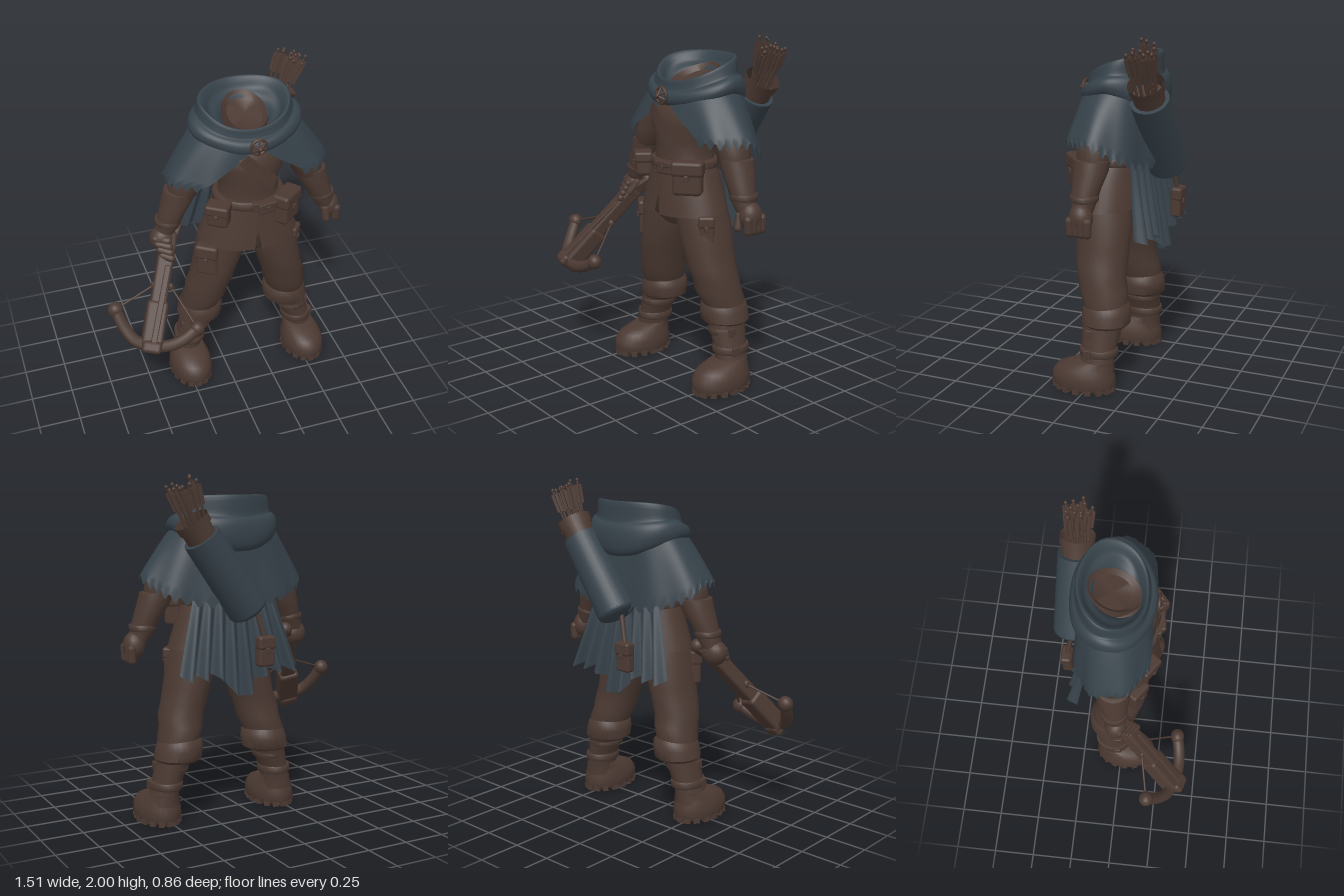
import * as THREE from 'three';
import { toCreasedNormals } from 'three/addons/utils/BufferGeometryUtils.js';
import { RoundedBoxGeometry } from 'three/addons/geometries/RoundedBoxGeometry.js';
import { ParametricGeometry } from 'three/addons/geometries/ParametricGeometry.js';

const CX = 0.15; // the body stands off centre to make room for the crossbow
const V = (p) => new THREE.Vector3(...p);
const lerp = THREE.MathUtils.lerp;

export function createModel() {
  const model = new THREE.Group();
  const leather = new THREE.MeshStandardMaterial({ color: 0x4b3932, side: THREE.DoubleSide });
  leather.name = 'brown leather';
  const cloth = new THREE.MeshStandardMaterial({ color: 0x364149, side: THREE.DoubleSide });
  cloth.name = 'blue cloth';

  const add = (name, geo, mat = leather, pos = [0, 0, 0]) => {
    const m = new THREE.Mesh(geo, mat);
    m.name = name;
    m.position.set(...pos);
    model.add(m);
    return m;
  };

  // Skin over horizontal ellipses [x, y, z, rx, rz], listed from bottom to top
  function loft(name, rows, mat = leather, n = 28) {
    const pos = [], idx = [];
    for (const [x, y, z, rx, rz] of rows)
      for (let i = 0; i < n; i++) {
        const a = (i / n) * Math.PI * 2;
        pos.push(x + rx * Math.sin(a), y, z + rz * Math.cos(a));
      }
    const last = rows.length - 1, c = rows.length * n;
    pos.push(...rows[0].slice(0, 3), ...rows[last].slice(0, 3));
    for (let i = 0; i < n; i++) {
      const j = (i + 1) % n;
      for (let r = 0; r < last; r++) {
        const a = r * n + i, b = r * n + j;
        idx.push(a, b, a + n, b, b + n, a + n);
      }
      idx.push(c, j, i, c + 1, last * n + i, last * n + j);
    }
    const g = new THREE.BufferGeometry();
    g.setAttribute('position', new THREE.Float32BufferAttribute(pos, 3));
    g.setIndex(idx);
    return add(name, toCreasedNormals(g, 0.8), mat);
  }

  // Open cloth or leather sheet from a rule (u, v) -> [x, y, z]
  function sheet(name, rule, nu, nv, mat = cloth) {
    const g = new ParametricGeometry((u, v, t) => t.set(...rule(u, v)), nu, nv);
    g.computeVertexNormals();
    return add(name, g, mat);
  }

  // Place a y-aligned shape so that it runs from p to q
  function span(name, geo, p, q, mat = leather, side = [1, 0, 0]) {
    const y = V(q).sub(V(p)).normalize();
    const z = V(side).cross(y).normalize();
    const x = y.clone().cross(z);
    const m = add(name, geo, mat);
    m.quaternion.setFromRotationMatrix(new THREE.Matrix4().makeBasis(x, y, z));
    m.position.copy(V(p).add(V(q)).multiplyScalar(0.5));
    return m;
  }
  const dist = (p, q) => V(p).distanceTo(V(q));
  const bar = (name, p, q, w, d, mat, side) =>
    span(name, new RoundedBoxGeometry(w, dist(p, q), d, 2, Math.min(w, d) * 0.2), p, q, mat, side);
  const rod = (name, p, q, r0, r1 = r0, mat, n = 8, open = false) =>
    span(name, new THREE.CylinderGeometry(r1, r0, dist(p, q), n, 1, open), p, q, mat, [0.01, 0, 1]);
  const finger = (name, p, q, r) => span(name, new THREE.CapsuleGeometry(r, dist(p, q), 4, 8), p, q, leather, [0, 0, 1]);
  const ball = (name, pos, s) => {
    const m = add(name, new THREE.SphereGeometry(1, 18, 12), leather, pos);
    m.scale.set(...s);
    return m;
  };
  const band = (name, x, y, z, rx, rz, h) =>
    loft(name, [[x, y - h, z, rx * 0.96, rz * 0.96], [x, y - h * 0.7, z, rx, rz], [x, y + h * 0.7, z, rx, rz], [x, y + h, z, rx * 0.96, rz * 0.96]]);

  // Torso, neck and hips
  loft('torso', [[CX, 1.08, 0, 0.25, 0.18], [CX, 1.2, 0, 0.22, 0.175], [CX, 1.3, 0, 0.18, 0.162], [CX, 1.4, 0, 0.175, 0.165],
    [CX, 1.5, 0, 0.21, 0.175], [CX, 1.58, -0.01, 0.24, 0.175], [CX, 1.66, -0.05, 0.2, 0.16], [CX, 1.7, -0.06, 0.14, 0.13]]);
  const neck = loft('neck', [[0, -0.14, 0, 0.14, 0.14], [0, -0.02, 0, 0.13, 0.16], [0, 0, 0, 0.125, 0.155], [0, -0.03, 0, 0.1, 0.12]]);
  neck.position.set(CX, 1.77, -0.07);
  neck.rotation.x = 0.36;
  loft('hips', [[CX, 0.92, -0.01, 0.14, 0.12], [CX, 0.98, -0.01, 0.25, 0.165], [CX, 1.1, 0, 0.25, 0.175]]);

  // Jacket skirt, split at the front
  sheet('jacketSkirt', (u, v) => {
    const o = 0.01 + 0.06 * v * v, a = lerp(o, Math.PI * 2 - o, u);
    return [CX + lerp(0.185, 0.305, v ** 0.8) * Math.sin(a), 1.3 - 0.295 * v - 0.015 * Math.cos(a) * v, lerp(0.165, 0.205, v) * Math.cos(a)];
  }, 40, 8, leather);
  band('belt', CX, 1.275, 0, 0.212, 0.185, 0.028);
  bar('buckle', [CX, 1.245, 0.185], [CX, 1.305, 0.185], 0.07, 0.025);

  // Chest strap wrapped over the torso
  sheet('chestStrap', (u, v) => {
    const x = lerp(0.06, 0.25, u) + 0.05 * (v - 0.5);
    return [x, lerp(1.6, 1.41, u) + 0.06 * (v - 0.5), 0.19 * Math.sqrt(1 - ((x - CX) / 0.27) ** 2) - 0.006];
  }, 16, 2, leather);

  // Pouches: body, flap and button
  function pouch(name, x, y, z, w, h, d, turn) {
    const g = new THREE.Group();
    g.name = name;
    const parts = [['pouchBody', w, h, d, 0, 0], ['pouchFlap', w * 1.08, h * 0.45, d * 1.08, h * 0.3, 0.006], ['pouchButton', 0.025, 0.03, 0.02, h * 0.05, d * 0.56]];
    for (const [part, a, b, c, py, pz] of parts)
      g.add(add(part, new RoundedBoxGeometry(a, b, c, 2, Math.min(a, b, c) * 0.25), leather, [0, py, pz]));
    g.position.set(x, y, z);
    g.rotation.y = turn;
    model.add(g);
  }
  pouch('leftBeltPouch', 0.34, 1.22, 0.13, 0.17, 0.19, 0.1, 0.7);
  pouch('rightBeltPouch', -0.07, 1.24, 0.13, 0.13, 0.14, 0.1, -0.6);
  pouch('smallBeltPouch', 0.2, 1.265, 0.18, 0.11, 0.075, 0.05, 0.15);
  pouch('rightThighPouch', -0.125, 0.9, 0.085, 0.13, 0.2, 0.07, -0.6);
  pouch('leftThighPouch', 0.42, 0.93, 0.06, 0.09, 0.15, 0.06, 0.9);
  pouch('backPouch', 0.02, 1.01, -0.345, 0.1, 0.17, 0.06, Math.PI);
  rod('backPouchStrap', [0.02, 1.08, -0.345], [0.07, 1.26, -0.32], 0.014);

  // Legs, boots and sleeves, mirrored about the body axis
  for (const s of [-1, 1]) {
    const side = s > 0 ? 'left' : 'right';
    const mir = (rows) => rows.map(([x, ...rest]) => [CX + s * x, ...rest]);
    loft(side + 'Trouser', mir([[0.29, 0.42, -0.07, 0.105, 0.11], [0.28, 0.5, -0.06, 0.123, 0.13], [0.255, 0.57, -0.04, 0.125, 0.142],
      [0.25, 0.63, -0.03, 0.132, 0.136], [0.225, 0.7, -0.018, 0.13, 0.15], [0.2, 0.8, -0.015, 0.136, 0.155],
      [0.16, 0.95, -0.01, 0.15, 0.162], [0.14, 1.08, 0, 0.13, 0.15]]));
    loft(side + 'BootCuff', mir([[0.295, 0.37, -0.07, 0.12, 0.125], [0.29, 0.385, -0.07, 0.138, 0.14], [0.28, 0.44, -0.07, 0.138, 0.14],
      [0.275, 0.48, -0.07, 0.128, 0.135], [0.275, 0.5, -0.07, 0.11, 0.12]]));
    loft(side + 'BootShaft', mir([[0.378, 0.11, -0.05, 0.095, 0.1], [0.37, 0.2, -0.05, 0.08, 0.1], [0.345, 0.28, -0.055, 0.086, 0.105], [0.3, 0.42, -0.06, 0.106, 0.12]]));
    for (const [x, y] of [[0.36, 0.23], [0.323, 0.335]]) {
      band(side + 'BootStrap', CX + s * x, y, -0.055, 0.095, 0.112, 0.022);
      bar(side + 'BootBuckle', [CX + s * (x + 0.088), y - 0.025, -0.02], [CX + s * (x + 0.088), y + 0.025, -0.02], 0.022, 0.045);
    }
    loft(side + 'Foot', mir([[0.38, 0.02, 0.03, 0.122, 0.182], [0.38, 0.045, 0.03, 0.13, 0.192], [0.38, 0.09, 0.032, 0.127, 0.187],
      [0.379, 0.13, 0.022, 0.115, 0.168], [0.377, 0.155, -0.005, 0.1, 0.135], [0.374, 0.18, -0.045, 0.086, 0.104]]));
    for (let i = 0; i < 16; i++) {
      const a = (i / 16) * Math.PI * 2;
      const m = add(side + 'SoleTread', new THREE.BoxGeometry(0.036, 0.03, 0.06), leather,
        [CX + s * 0.38 + 0.098 * Math.sin(a), 0.015, 0.03 + 0.158 * Math.cos(a)]);
      m.rotation.y = a;
    }
    loft(side + 'Sleeve', mir([[0.395, 1.3, -0.04, 0.07, 0.08], [0.385, 1.325, -0.04, 0.088, 0.095], [0.36, 1.41, -0.045, 0.098, 0.1],
      [0.31, 1.5, -0.05, 0.11, 0.105], [0.24, 1.62, -0.06, 0.11, 0.1]]));
    loft(side + 'Bracer', mir([[0.505, 1.07, -0.025, 0.055, 0.055], [0.485, 1.12, -0.025, 0.07, 0.068], [0.455, 1.2, -0.03, 0.078, 0.08],
      [0.415, 1.29, -0.04, 0.093, 0.097], [0.4, 1.345, -0.04, 0.092, 0.097], [0.395, 1.35, -0.04, 0.07, 0.075]]));
    band(side + 'WristStrap', CX + s * 0.48, 1.15, -0.028, 0.078, 0.077, 0.018);
  }

  // Hands
  ball('leftPalm', [0.685, 1.05, -0.03], [0.062, 0.08, 0.068]);
  for (let i = 0; i < 4; i++) {
    finger('leftFinger', [0.72, 1.04, 0.02 - i * 0.034], [0.718, 0.975, 0.015 - i * 0.032], 0.025);
    finger('rightFinger', [-0.42 + i * 0.008, 1.06 - i * 0.028, 0.01 + i * 0.02], [-0.35, 1.05 - i * 0.028, 0.045 + i * 0.02], 0.022);
  }
  finger('leftThumb', [0.645, 1.05, 0.015], [0.65, 0.985, 0.03], 0.024);
  ball('rightPalm', [-0.37, 1.04, -0.015], [0.078, 0.075, 0.068]);
  finger('rightThumb', [-0.31, 1.06, 0.01], [-0.33, 1.0, 0.05], 0.024);

  // Height of the hood rim around the neck, low at the front
  const rimY = (c) => 1.845 - 0.07 * c - 0.035 * c * c;
  const soft = (t) => Math.sign(t) * Math.abs(t) ** 0.88;

  // Shoulder cape with a notched hem, open below the clasp
  sheet('shoulderCape', (u, v) => {
    const o = 0.04 + 0.57 * v, a = lerp(o, Math.PI * 2 - o, u), c = Math.cos(a);
    const hem = 1.44 - 0.15 * Math.max(0, -c) - (v > 0.99 && Math.round(u * 120) % 4 < 2 ? 0.03 : 0);
    const fold = 0.008 * v * Math.sin(a * 9);
    const top = rimY(c) - 0.11 * (1 - 0.1 * c);
    return [CX + (lerp(0.27, 0.49, v ** 0.85) + fold) * soft(Math.sin(a)), lerp(top, hem, v), -0.06 + (lerp(0.2, 0.245, v) + fold) * soft(c)];
  }, 120, 16);

  // Collapsed hood: standing rim and a rolled fold, hanging lower at the back
  const roll = [[0.4, -0.13], [0.5, -0.085], [0.6, -0.065], [0.66, -0.05], [0.72, -0.02], [0.79, 0.003], [0.84, 0], [0.865, -0.03],
    [0.89, -0.062], [0.95, -0.07], [1.02, -0.09], [1.045, -0.12], [1.02, -0.15], [0.92, -0.17]];
  const rollCurve = new THREE.CatmullRomCurve3(roll.map(([r, h]) => new THREE.Vector3(r, h, 0)));
  sheet('hood', (u, v) => {
    const a = u * Math.PI * 2, c = Math.cos(a), p = rollCurve.getPoint(v);
    const drop = p.x > 0.87 ? 1 + 0.8 * Math.max(0, -c) - 0.2 * Math.max(0, c) : 1;
    const ripple = 1 + 0.01 * Math.sin(a * 5 + v * 9);
    return [CX + 0.318 * p.x * ripple * Math.sin(a), rimY(c) + p.y * drop, -0.08 + 0.23 * p.x * ripple * c];
  }, 64, 39);

  // Pleated cloak tail ending in ragged strips
  sheet('cloakTail', (u, v) => {
    const t = u * 2 - 1, strip = Math.abs(((u * 8) % 1) - 0.5);
    const end = 0.87 - 0.15 * Math.max(0, 1 - Math.abs(t) * 2.5) + 0.06 * strip;
    return [0.14 + t * lerp(0.22, 0.375, v), lerp(1.45, end, v), -0.215 - 0.085 * v + 0.04 * t * t * (1 - v) + 0.035 * v * Math.cos(u * 8 * Math.PI * 2)];
  }, 80, 16);

  // Clasp: ring with spokes rising to a stud
  add('claspRing', new THREE.TorusGeometry(0.045, 0.009, 8, 24), leather, [CX, 1.665, 0.17]);
  for (let i = 0; i < 6; i++) {
    const a = (i * Math.PI) / 3;
    rod('claspSpoke', [CX + 0.045 * Math.sin(a), 1.665 + 0.045 * Math.cos(a), 0.17], [CX, 1.665, 0.198], 0.007);
  }
  ball('claspStud', [CX, 1.665, 0.198], [0.013, 0.013, 0.013]);

  // Quiver slung across the back
  rod('quiverBody', [0.115, 1.26, -0.31], [0.4, 1.66, -0.31], 0.118, 0.108, cloth, 28);
  const base = span('quiverBase', new THREE.SphereGeometry(0.117, 28, 12), [0.105, 1.245, -0.31], [0.125, 1.273, -0.31], cloth, [0, 0, 1]);
  base.scale.y = 0.4;
  rod('quiverNeck', [0.38, 1.63, -0.31], [0.455, 1.745, -0.31], 0.085, 0.088, leather, 24, true);
  rod('quiverRim', [0.435, 1.715, -0.31], [0.462, 1.756, -0.31], 0.097, 0.1, leather, 24, true);
  rod('quiverFloor', [0.42, 1.69, -0.31], [0.425, 1.698, -0.31], 0.085, 0.085, leather, 24);

  // Arrows with crossed fletching
  for (let i = 0; i < 13; i++) {
    const a = i * 2.4, r = Math.sqrt((i + 0.5) / 13);
    const p = [0.42 + 0.05 * r * Math.cos(a), 1.68 - 0.03 * r * Math.cos(a), -0.31 + 0.06 * r * Math.sin(a)];
    const q = [0.525 + 0.09 * r * Math.cos(a), 1.94 - 0.035 * r * Math.cos(a) + 0.02 * Math.sin(i * 5), -0.31 + 0.085 * r * Math.sin(a)];
    const at = (k) => p.map((x, j) => lerp(x, q[j], k));
    rod('arrowShaft', p, q, 0.007, 0.007, leather, 6);
    for (const side of [[1, 0, 0.4], [-0.4, 0, 1]])
      span('arrowFletching', new THREE.BoxGeometry(0.04, 0.11, 0.006), at(0.52), at(0.92), leather, side);
    ball('arrowNock', q, [0.01, 0.012, 0.01]);
  }

  // Crossbow held in the right hand
  const limbSide = [0.46, -0.14, 0.16];
  bar('crossbowStock', [-0.34, 1.02, 0], [-0.565, 0.545, 0.37], 0.095, 0.085, leather, limbSide);
  bar('crossbowFore', [-0.465, 0.755, 0.2], [-0.56, 0.55, 0.36], 0.125, 0.11, leather, limbSide);
  bar('crossbowNose', [-0.545, 0.585, 0.34], [-0.57, 0.53, 0.38], 0.115, 0.14, leather, limbSide);
  bar('crossbowRail', [-0.375, 0.93, 0.115], [-0.555, 0.59, 0.395], 0.035, 0.035, leather, limbSide);
  bar('crossbowButt', [-0.27, 1.08, -0.07], [-0.35, 1.0, 0.02], 0.07, 0.07, leather, limbSide);
  ball('crossbowPommel', [-0.285, 1.075, -0.06], [0.042, 0.042, 0.045]);
  const leftTip = [-0.72, 0.755, 0.2], rightTip = [-0.275, 0.62, 0.355];
  const limb = [leftTip, [-0.69, 0.665, 0.26], [-0.64, 0.595, 0.32], [-0.55, 0.56, 0.36], [-0.45, 0.555, 0.38], [-0.36, 0.575, 0.375], rightTip];
  add('crossbowLimbs', new THREE.TubeGeometry(new THREE.CatmullRomCurve3(limb.map(V)), 28, 0.035, 10));
  for (const tip of [leftTip, rightTip]) ball('limbTip', tip, [0.045, 0.045, 0.042]);
  const latch = [[-0.475, 0.835, 0.15], [-0.375, 0.805, 0.16]];
  [leftTip, rightTip].forEach((tip, i) => {
    rod('bowString', tip, latch[i], 0.006);
    ball('stringHook', latch[i], [0.018, 0.025, 0.018]);
  });
  rod('stringBridge', latch[0], latch[1], 0.01);

  return model;
}
